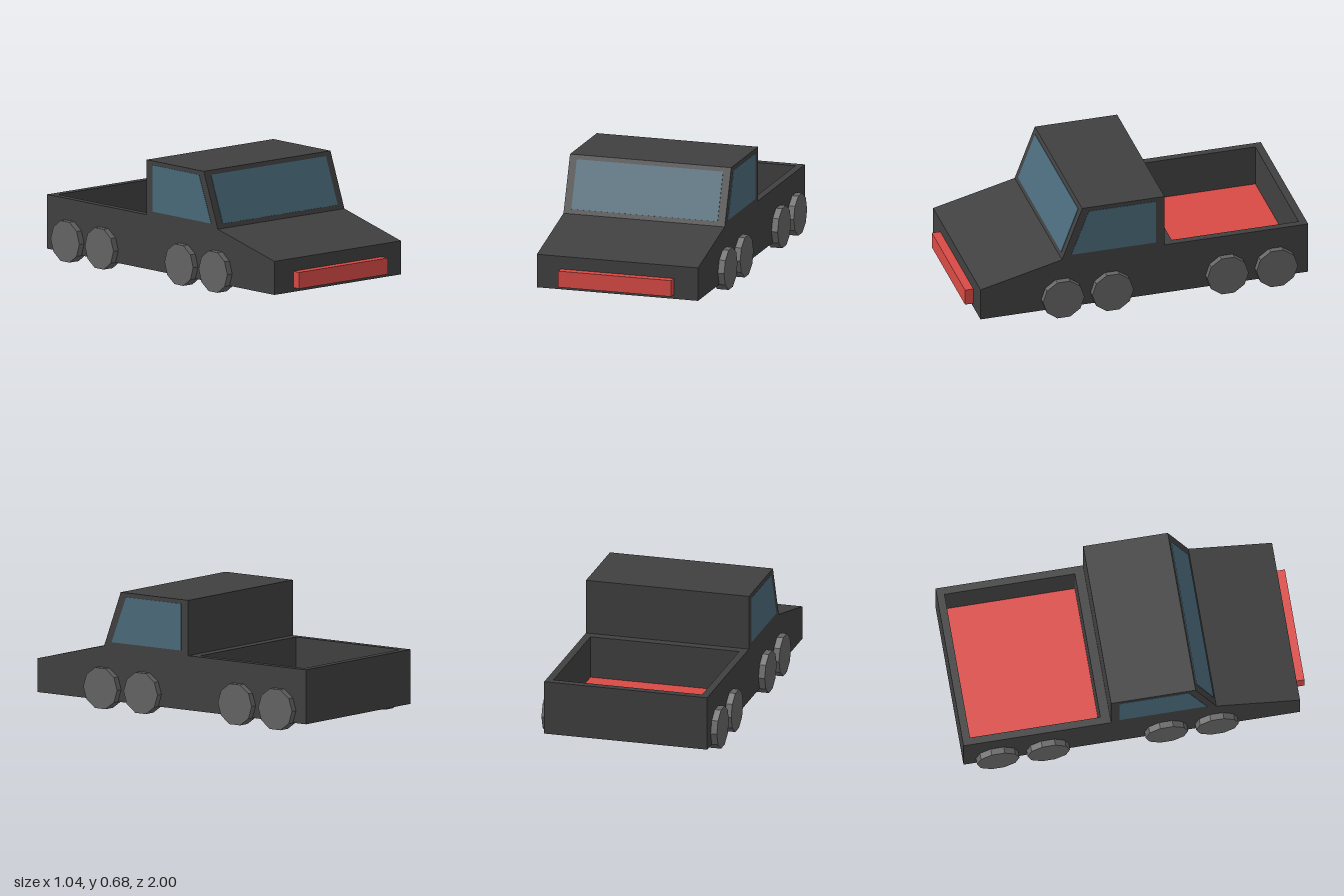
import * as THREE from 'three';

const paint = (color) => new THREE.MeshStandardMaterial({ color, flatShading: true });

export function createModel() {
  const truck = new THREE.Group();
  truck.name = 'pickupTruck';
  const dark = paint(0x404040);
  const red = paint(0xd94a45);
  const glass = paint(0x4a6a7a);
  const rubber = paint(0x646464);

  const add = (name, geometry, material, x = 0, y = 0, z = 0) => {
    const mesh = new THREE.Mesh(geometry, material);
    mesh.name = name;
    mesh.position.set(x, y, z);
    truck.add(mesh);
    return mesh;
  };
  const polygon = (points) => new THREE.Shape(points.map(([a, b]) => new THREE.Vector2(a, b)));

  // Side profile given as [z, y], extruded across the width
  const acrossWidth = (points, width) =>
    new THREE.ExtrudeGeometry(polygon(points), { depth: width, bevelEnabled: false })
      .rotateY(-Math.PI / 2)
      .translate(width / 2, 0, 0);

  // Bonnet and cab
  add('cabAndBonnet', acrossWidth([
    [-0.145, 0.045], [0.95, 0.045], [0.95, 0.24], [0.465, 0.36], [0.345, 0.68], [-0.145, 0.68],
  ], 0.97), dark);

  // Open cargo bed: a rectangular frame around a red floor
  const frame = polygon([[-0.485, 0.145], [0.485, 0.145], [0.485, 1], [-0.485, 1]]);
  frame.holes.push(polygon([[-0.442, 0.2], [-0.442, 0.955], [0.442, 0.955], [0.442, 0.2]]));
  add('bedWalls', new THREE.ExtrudeGeometry(frame, { depth: 0.315, bevelEnabled: false })
    .rotateX(-Math.PI / 2), dark, 0, 0.045, 0);
  add('bedBase', new THREE.BoxGeometry(0.884, 0.05, 0.755), dark, 0, 0.07, -0.5775);
  add('bedFloor', new THREE.BoxGeometry(0.884, 0.02, 0.755), red, 0, 0.105, -0.5775);

  // Windows sit almost flush with the cab
  add('sideWindows', acrossWidth([
    [-0.095, 0.385], [0.41, 0.385], [0.305, 0.655], [-0.095, 0.655],
  ], 0.974), glass);
  const windshield = add('windshield', new THREE.BoxGeometry(0.88, 0.288, 0.006), glass, 0, 0.52, 0.405);
  windshield.rotation.x = -Math.atan2(0.12, 0.32);

  // Front bumper
  add('bumper', new THREE.BoxGeometry(0.68, 0.095, 0.05), red, 0, 0.1175, 0.975);

  // Four ten-sided wheels on each side
  const wheel = new THREE.CylinderGeometry(0.123, 0.123, 0.07, 10).rotateZ(Math.PI / 2);
  for (const [side, x] of [['left', 0.487], ['right', -0.487]]) {
    [0.465, 0.172, -0.512, -0.805].forEach((z, i) => add(`${side}Wheel${i + 1}`, wheel, rubber, x, 0.117, z));
  }
  return truck;
}
